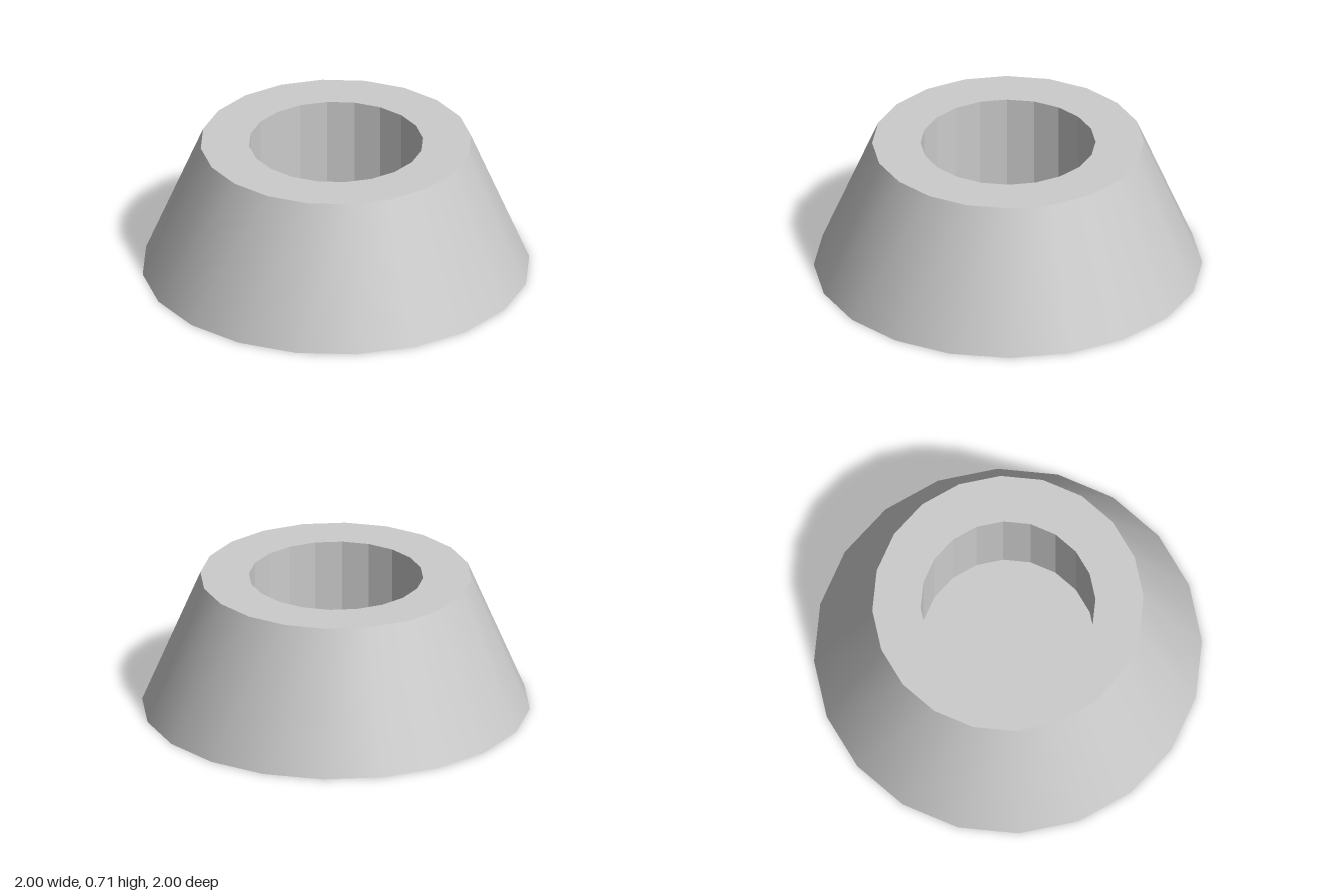
import * as THREE from 'three';

const SIDES = 20;
const HEIGHT = 0.715;
const BASE_R = 1;
const TOP_R = 0.7;
const HOLE_R = 0.45;
const FLOOR_Y = 0.14;

export function createModel() {
  const group = new THREE.Group();
  group.name = 'taperedHolder';
  const smooth = new THREE.MeshStandardMaterial({ color: 0xcccccc });
  const flat = new THREE.MeshStandardMaterial({ color: 0xcccccc, flatShading: true });

  const add = (name, geometry, material) => {
    const mesh = new THREE.Mesh(geometry, material);
    mesh.name = name;
    group.add(mesh);
    return mesh;
  };

  // A flat-shaded surface of revolution from [radius, height] pairs
  const turned = (name, profile) =>
    add(name, new THREE.LatheGeometry(profile.map(([r, y]) => new THREE.Vector2(r, y)), SIDES), flat);

  // Smooth sloping outer wall
  const wall = new THREE.CylinderGeometry(TOP_R, BASE_R, HEIGHT, SIDES, 1, true);
  add('outerWall', wall.translate(0, HEIGHT / 2, 0), smooth);

  // Flat ring on top, faceted blind hole and closed underside
  turned('topRim', [[TOP_R, HEIGHT], [HOLE_R, HEIGHT]]);
  turned('hole', [[HOLE_R, HEIGHT], [HOLE_R, FLOOR_Y], [0, FLOOR_Y]]);
  turned('underside', [[0, 0], [BASE_R, 0]]);

  return group;
}
